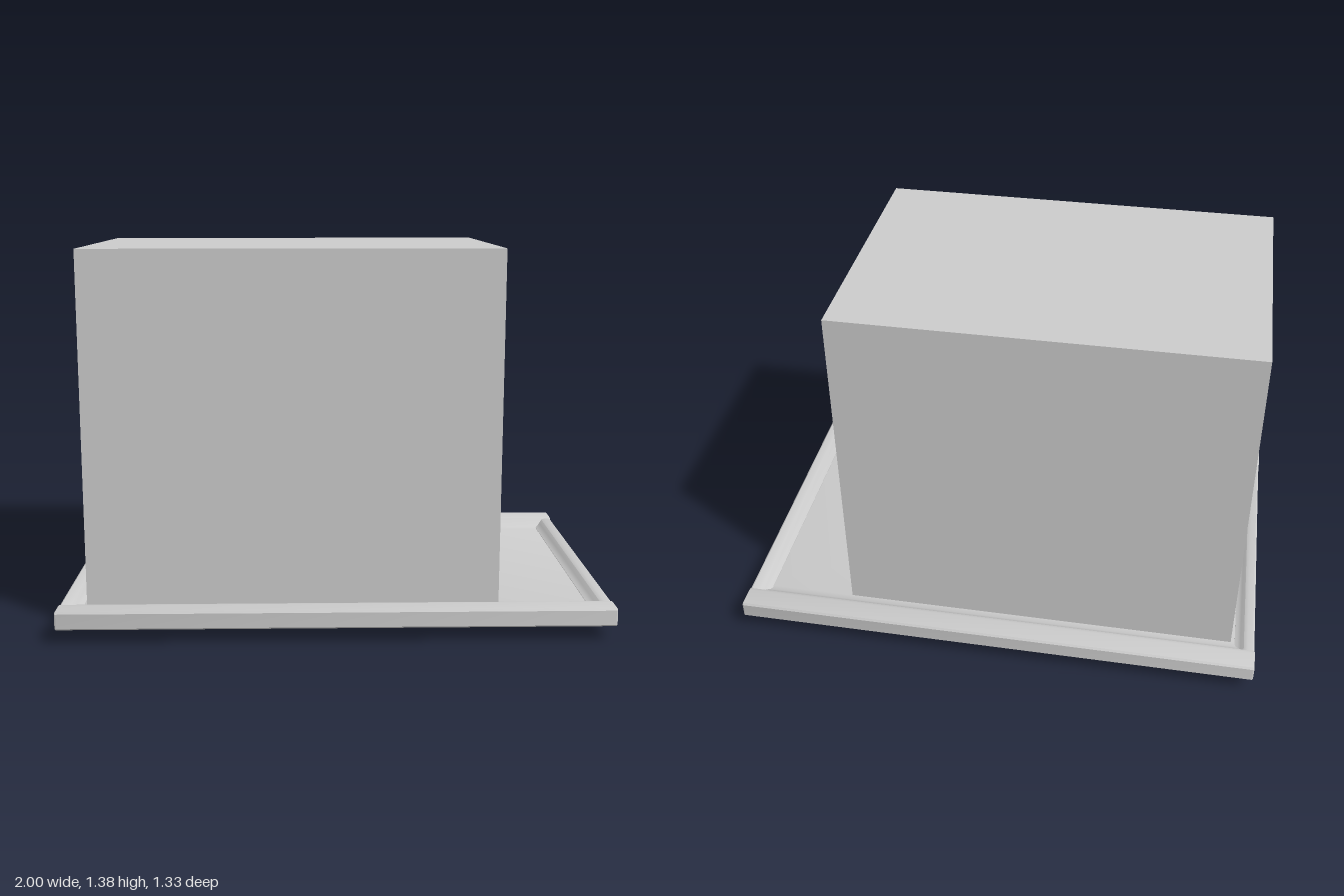
import * as THREE from 'three';
import { RoundedBoxGeometry } from 'three/addons/geometries/RoundedBoxGeometry.js';
import { toCreasedNormals } from 'three/addons/utils/BufferGeometryUtils.js';

const material = new THREE.MeshStandardMaterial({ color: 0xcccccc });

function part(name, geometry, x = 0, y = 0, z = 0) {
  const mesh = new THREE.Mesh(geometry, material);
  mesh.name = name;
  mesh.position.set(x, y, z);
  return mesh;
}

// Extrudes a closed profile, centred along its depth, with small rounded ends
function extrudeProfile(points, length, bevel) {
  const shape = new THREE.Shape(points.map(([x, y]) => new THREE.Vector2(x, y)));
  const geometry = new THREE.ExtrudeGeometry(shape, {
    depth: length - 2 * bevel, bevelEnabled: true, bevelSegments: 3,
    bevelSize: bevel, bevelThickness: bevel, bevelOffset: -bevel,
  });
  geometry.translate(0, 0, -length / 2 + bevel);
  return toCreasedNormals(geometry, 0.6);
}

// Rounded rectangle path, usable as an outline or a hole
function roundedRect(path, w, h, r) {
  const x = w / 2, y = h / 2;
  path.absarc(x - r, y - r, r, 0, Math.PI / 2);
  path.absarc(-x + r, y - r, r, Math.PI / 2, Math.PI);
  path.absarc(-x + r, -y + r, r, Math.PI, Math.PI * 1.5);
  path.absarc(x - r, -y + r, r, Math.PI * 1.5, Math.PI * 2);
  path.closePath();
  return path;
}

export function createModel() {
  const model = new THREE.Group();
  model.name = 'microwaveOven';

  // Oven housing
  model.add(part('housing', new THREE.BoxGeometry(1.506, 1.303, 1.018), -0.157, 0.7335, 0));

  // Front panel: shallow tray section with a raised rail along both long sides
  const panel = extrudeProfile([
    [-0.659, 0.055], [0.659, 0.055], [0.665, 0.061], [0.665, 0.115], [0.659, 0.122],
    [0.585, 0.122], [0.572, 0.119], [0.552, 0.098], [0.535, 0.089], [0.51, 0.085],
    [-0.505, 0.085], [-0.53, 0.092], [-0.555, 0.112], [-0.575, 0.12], [-0.59, 0.122],
    [-0.659, 0.122], [-0.665, 0.115], [-0.665, 0.061],
  ], 2, 0.006);
  panel.rotateY(Math.PI / 2);
  model.add(part('frontPanel', panel));

  // Lower lips closing the tray at each end
  for (const side of [-1, 1]) {
    const lip = extrudeProfile([
      [0.925, 0.07], [0.998, 0.07], [0.998, 0.112], [0.992, 0.117], [0.972, 0.117],
      [0.958, 0.113], [0.946, 0.1], [0.937, 0.092], [0.925, 0.087],
    ], 1.15, 0.004);
    if (side < 0) lip.rotateY(Math.PI);
    model.add(part(side < 0 ? 'rightLip' : 'leftLip', lip));
  }

  // Door window: thin raised frame on the underside
  const frame = roundedRect(new THREE.Shape(), 1.12, 0.64, 0.09);
  frame.holes.push(roundedRect(new THREE.Path(), 1.1, 0.62, 0.08));
  const frameGeometry = new THREE.ExtrudeGeometry(frame, {
    depth: 0.006, bevelEnabled: false, curveSegments: 8,
  });
  frameGeometry.rotateX(Math.PI / 2);
  model.add(part('windowFrame', frameGeometry, -0.19, 0.057, 0));

  // Control knobs with flared bases
  const knobProfile = [
    [0, 0.002], [0.04, 0.002], [0.049, 0.006], [0.055, 0.018], [0.06, 0.03],
    [0.07, 0.041], [0.085, 0.05], [0.105, 0.056],
  ].map(([r, y]) => new THREE.Vector2(r, y));
  for (const z of [0.18, 0.02]) {
    const knob = toCreasedNormals(new THREE.LatheGeometry(knobProfile, 20), 0.6);
    model.add(part('knob', knob, 0.76, 0, z));
  }

  // Keypad of low buttons
  const keypad = new THREE.Group();
  keypad.name = 'keypad';
  for (let row = 0; row < 5; row++) {
    for (let column = 0; column < 3; column++) {
      const button = new RoundedBoxGeometry(0.062, 0.016, 0.066, 2, 0.006);
      keypad.add(part('button', button, 0.67 + column * 0.085, 0.056, -0.13 - row * 0.09));
    }
  }
  model.add(keypad);

  return model;
}
